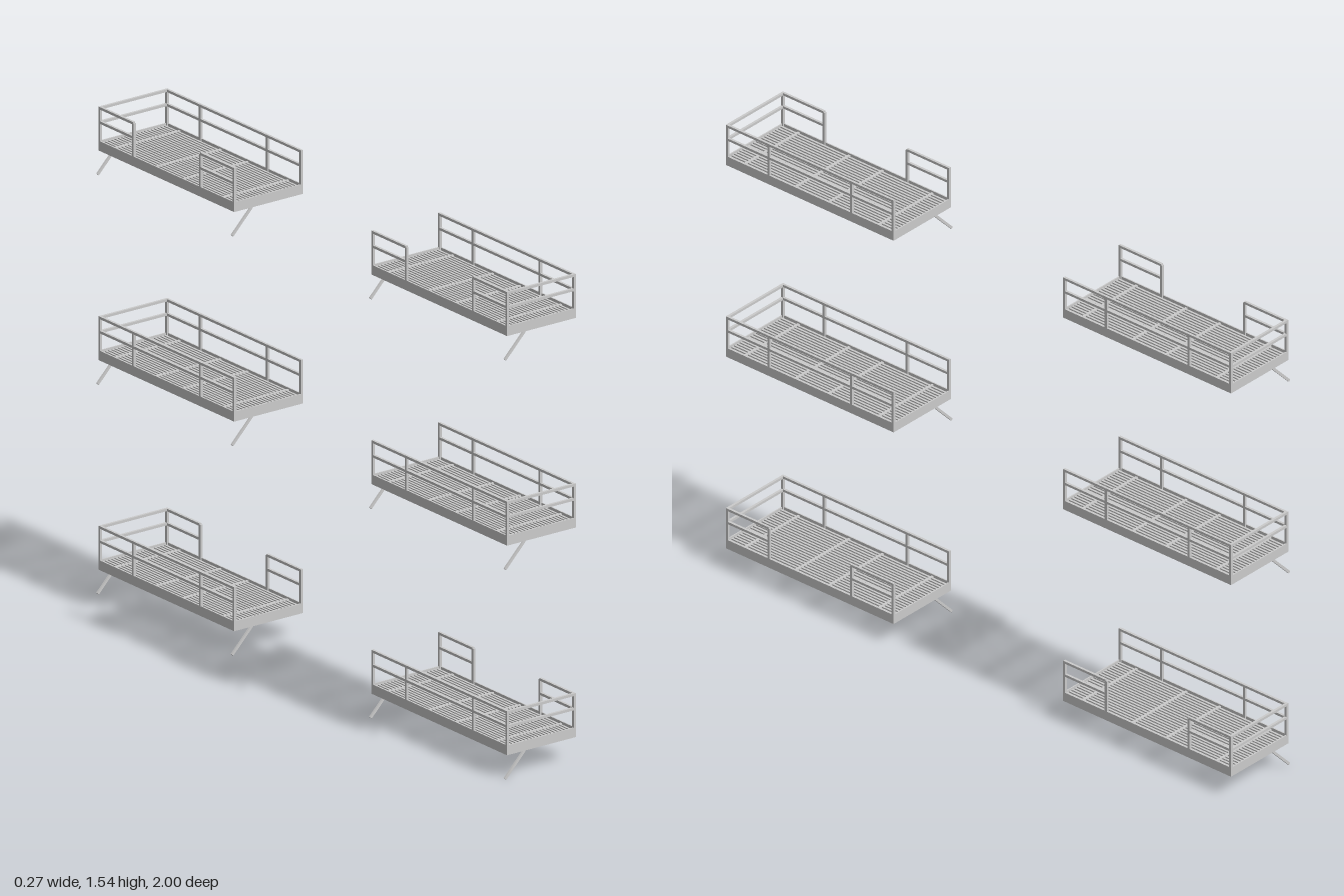
import * as THREE from 'three';

const material = new THREE.MeshStandardMaterial({ color: 0xcccccc, flatShading: true });
const X0 = -0.125, X1 = 0.132;      // deck sides
const Z0 = 0.335, Z1 = 0.998;       // inner and outer deck ends
const DECK_LOW = 0.077, DECK_TOP = 0.108;
const RAILS = [0.167, 0.212];       // rail heights
const T = 0.008;                    // rail and post thickness
const GATE = [0.503, 0.83];         // posts either side of a side opening

// Box given by its opposite corners
function box(group, name, x0, x1, y0, y1, z0, z1) {
  const mesh = new THREE.Mesh(new THREE.BoxGeometry(x1 - x0, y1 - y0, z1 - z0), material);
  mesh.position.set((x0 + x1) / 2, (y0 + y1) / 2, (z0 + z1) / 2);
  mesh.name = name;
  group.add(mesh);
  return mesh;
}

function addDeck(group) {
  const p = 0.004;
  // Edge plates
  for (const x of [X0, X1 - p]) box(group, 'sidePlate', x, x + p, DECK_LOW, DECK_TOP, Z0, Z1);
  for (const z of [Z0, Z1 - p]) box(group, 'endPlate', X0 + p, X1 - p, DECK_LOW, DECK_TOP, z, z + p);
  // Grating bars running lengthwise
  const count = 20, step = (X1 - X0) / (count + 1);
  for (let i = 1; i <= count; i++) {
    const x = X0 + i * step;
    box(group, 'gratingBar', x - 0.0035, x + 0.0035, 0.081, 0.102, Z0 + p, Z1 - p);
  }
  // Cross bars
  for (const z of [0.403, 0.6, 0.732, 0.932])
    box(group, 'crossBar', X0 + p, X1 - p, 0.084, 0.103, z - 0.004, z + 0.004);
}

// Side railing, with an opening in the middle where there is a gate
function addSideRailing(group, x, open) {
  for (const z of [Z0 + T / 2, ...GATE, Z1 - T / 2])
    box(group, 'post', x, x + T, DECK_LOW + 0.01, RAILS[1], z - T / 2, z + T / 2);
  const spans = open ? [[Z0, GATE[0]], [GATE[1], Z1]] : [[Z0, Z1]];
  for (const y of RAILS)
    for (const [a, b] of spans)
      box(group, 'sideRail', x, x + T, y - T / 2, y + T / 2, a, b);
}

// Slanted brace under each deck end
function addBraces(group) {
  const dx = 0.073, dy = 0.075, len = Math.hypot(dx, dy);
  for (const z of [Z0 + 0.003, Z1 - 0.003]) {
    const brace = box(group, 'brace', 0, len, -0.004, 0.004, -0.003, 0.003);
    brace.position.set(-0.131 + dx / 2, 0.003 + dy / 2, z);
    brace.rotation.z = Math.atan2(dy, dx);
  }
}

function createPlatform(leftOpen, rightOpen) {
  const platform = new THREE.Group();
  platform.name = 'platform';
  addDeck(platform);
  addSideRailing(platform, X0, rightOpen);
  addSideRailing(platform, X1 - T, leftOpen);
  // Railing across the outer end only
  for (const y of RAILS)
    box(platform, 'endRail', X0, X1, y - T / 2, y + T / 2, Z1 - T, Z1);
  addBraces(platform);
  return platform;
}

export function createModel() {
  const model = new THREE.Group();
  model.name = 'accessPlatforms';
  for (let level = 0; level < 3; level++) {
    for (const side of [1, -1]) {
      const platform = createPlatform(level === 0, level === 2);
      platform.position.y = level * 0.663;
      // Mirror front to back by moving the parts, which are all symmetric in z
      if (side < 0) for (const part of platform.children) part.position.z *= -1;
      model.add(platform);
    }
  }
  return model;
}
